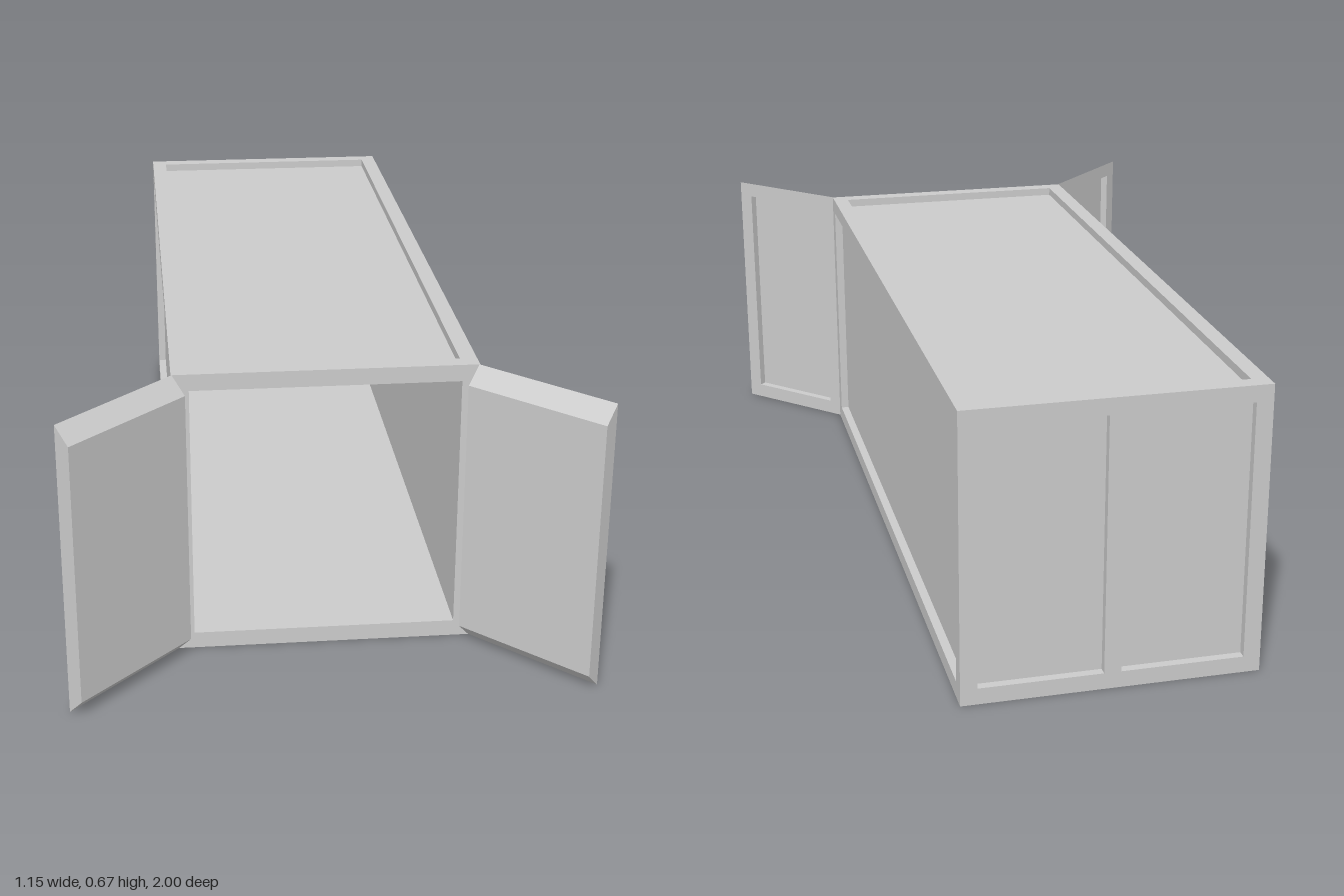
import * as THREE from 'three';

const W = 0.335, H = 0.67;          // half width, height of the body
const ZB = -1, ZF = 0.73;           // back and front ends
const B = 0.038;                    // frame beam thickness
const T = 0.018;                    // sheet thickness (the rest of B is the recess)
const DOOR = 0.342;                 // door leaf width

const material = new THREE.MeshStandardMaterial({ color: 0xcccccc, flatShading: true });

// Box given by its minimum and maximum corners
function box(parent, name, [x0, y0, z0], [x1, y1, z1]) {
  const mesh = new THREE.Mesh(new THREE.BoxGeometry(x1 - x0, y1 - y0, z1 - z0), material);
  mesh.position.set((x0 + x1) / 2, (y0 + y1) / 2, (z0 + z1) / 2);
  mesh.name = name;
  parent.add(mesh);
}

function createBody() {
  const body = new THREE.Group();
  body.name = 'containerBody';
  const xi = W - B, zb = ZB + B, zf = ZF - B;

  // Frame: corner posts, long rails and cross rails
  for (const [x0, x1] of [[-W, -xi], [xi, W]]) {
    for (const [z0, z1] of [[ZB, zb], [zf, ZF]]) {
      box(body, 'cornerPost', [x0, B, z0], [x1, H - B, z1]);
    }
    for (const y of [0, H - B]) box(body, 'longRail', [x0, y, ZB], [x1, y + B, ZF]);
  }
  for (const y of [0, H - B]) {
    for (const [z0, z1] of [[ZB, zb], [zf, ZF]]) {
      box(body, 'crossRail', [-xi, y, z0], [xi, y + B, z1]);
    }
  }

  // Sheets, flush with the frame inside and recessed outside
  box(body, 'leftWall', [xi, B, zb], [xi + T, H - B, zf]);
  box(body, 'rightWall', [-xi - T, B, zb], [-xi, H - B, zf]);
  box(body, 'floor', [-xi, B - T, zb], [xi, B, zf]);
  box(body, 'roof', [-xi, H - B, zb], [xi, H - B + T, zf]);
  box(body, 'backWall', [-xi, B, zb - T], [xi, H - B, zb]);
  box(body, 'backMiddlePost', [-B / 2, B, ZB], [B / 2, H - B, zb - T]);
  return body;
}

// Open door leaf; local z = 0 is its outer face, x = 0 its hinge edge
function createDoor(side) {
  const door = new THREE.Group();
  door.name = side > 0 ? 'leftDoor' : 'rightDoor';
  const leaf = new THREE.Group();
  leaf.name = 'doorLeaf';
  leaf.position.x = side * DOOR / 2;
  door.add(leaf);
  const h = DOOR / 2;

  // Side stiles and recessed sheet
  for (const [x0, x1] of [[-h, -h + B], [h - B, h]]) {
    box(leaf, 'doorStile', [x0, B, 0], [x1, H - B, B]);
  }
  box(leaf, 'doorPanel', [-h + B, B, B - T], [h - B, H - B, B]);

  // Bevelled top and bottom rails with a triangular section
  for (const [yOut, yIn] of [[0, B], [H, H - B]]) {
    const section = new THREE.Shape([
      new THREE.Vector2(0, yOut), new THREE.Vector2(0, yIn), new THREE.Vector2(-B, yIn),
    ]);
    const geometry = new THREE.ExtrudeGeometry(section, { depth: DOOR, bevelEnabled: false });
    geometry.translate(0, 0, -h).rotateY(Math.PI / 2);
    const rail = new THREE.Mesh(geometry, material);
    rail.name = yOut ? 'doorTopRail' : 'doorBottomRail';
    leaf.add(rail);
  }

  door.position.set(side * 0.333, 0, ZF);
  door.rotation.y = -side * Math.PI / 4;
  return door;
}

export function createModel() {
  const model = new THREE.Group();
  model.name = 'shippingContainer';
  model.add(createBody(), createDoor(1), createDoor(-1));
  return model;
}
